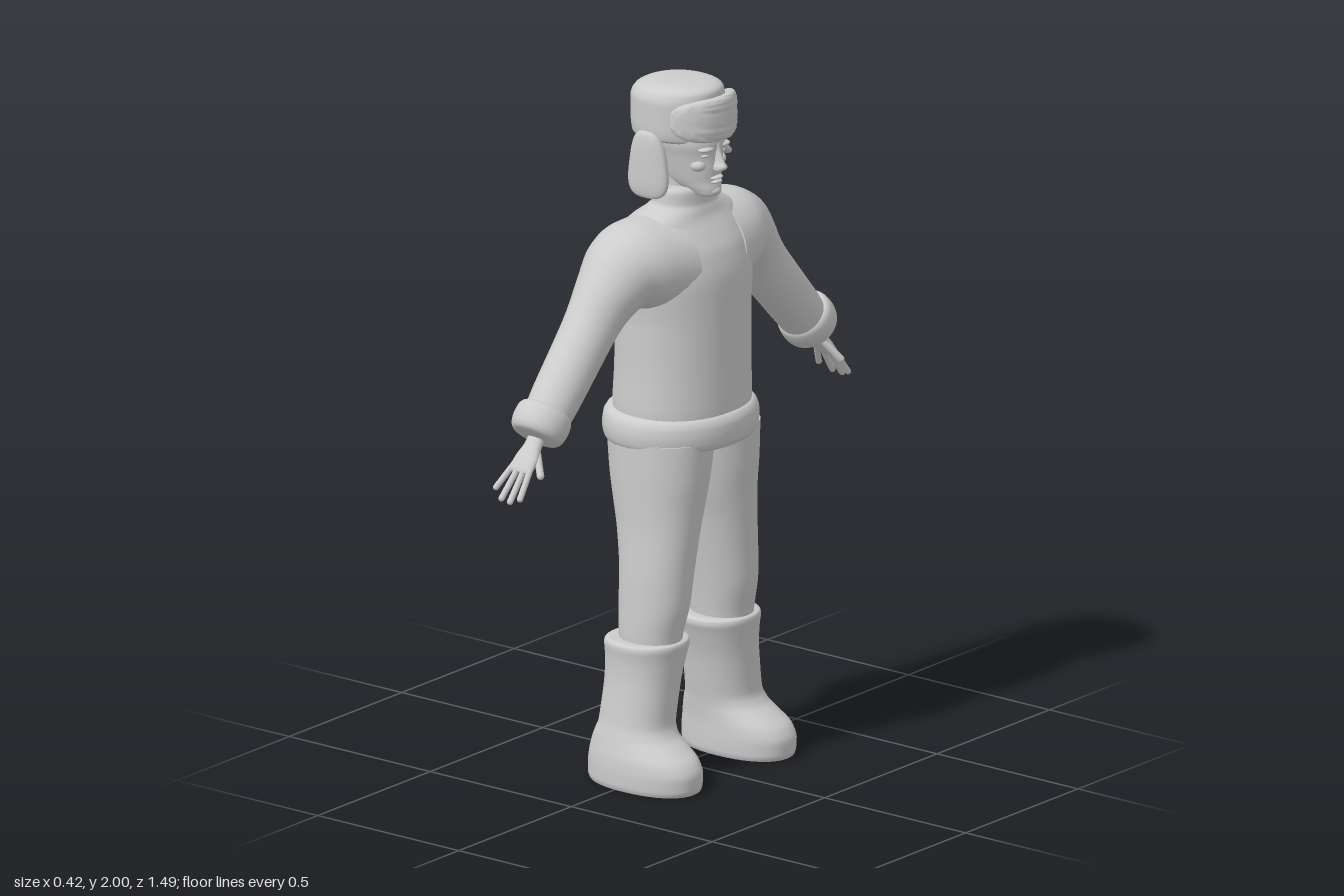
import * as THREE from 'three';

const grey = new THREE.MeshStandardMaterial({ color: 0xcccccc });
grey.name = 'lightGrey';

// Monotone cubic interpolation between section rows (no overshoot)
function rowAt(rows, t) {
  const i = Math.min(Math.floor(t), rows.length - 2), f = t - i;
  const slope = (k, c) => {
    if (k <= 0 || k >= rows.length - 1) return 0;
    const d0 = rows[k][c] - rows[k - 1][c], d1 = rows[k + 1][c] - rows[k][c];
    return d0 * d1 <= 0 ? 0 : 2 * d0 * d1 / (d0 + d1);
  };
  return rows[0].map((_, c) => {
    const p = rows[i][c], q = rows[i + 1][c];
    const f2 = f * f, f3 = f2 * f;
    return (2 * f3 - 3 * f2 + 1) * p + (f3 - 2 * f2 + f) * slope(i, c)
      + (3 * f2 - 2 * f3) * q + (f3 - f2) * slope(i + 1, c);
  });
}

// Skin over oval sections [cx, cy, cz, radiusX, radiusZ, tilt about x]; power > 2 squares the ovals
function loft(sections, power = 2, n = 40, sub = 5) {
  const rows = sections.map(s => [...s, 0].slice(0, 6));
  const count = (rows.length - 1) * sub + 1, pos = [], idx = [];
  const ring = (r) => {
    for (let j = 0; j < n; j++) {
      const t = j / n * Math.PI * 2, c = Math.cos(t), s = Math.sin(t);
      const u = Math.sign(c) * Math.abs(c) ** (2 / power) * r[3];
      const v = Math.sign(s) * Math.abs(s) ** (2 / power) * r[4];
      pos.push(r[0] + u, r[1] + v * Math.sin(r[5]), r[2] + v * Math.cos(r[5]));
    }
  };
  for (let i = 0; i < count; i++) ring(rowAt(rows, i / sub));
  for (let i = 0; i < count - 1; i++) for (let j = 0; j < n; j++) {
    const a = i * n + j, b = i * n + (j + 1) % n;
    idx.push(a, a + n, b, b, a + n, b + n);
  }
  for (const top of [false, true]) {
    const r = rows[top ? rows.length - 1 : 0], start = pos.length / 3;
    ring(r);
    pos.push(r[0], r[1], r[2]);
    for (let j = 0; j < n; j++) {
      const a = start + j, b = start + (j + 1) % n;
      idx.push(start + n, top ? b : a, top ? a : b);
    }
  }
  const g = new THREE.BufferGeometry();
  g.setAttribute('position', new THREE.Float32BufferAttribute(pos, 3));
  g.setIndex(idx);
  g.computeVertexNormals();
  return g;
}

// Rounded cushion in -1..1 space, reshaped by a rule (x, y, z) => [x, y, z]
function pad(rule) {
  const g = new THREE.SphereGeometry(1, 48, 32), p = g.attributes.position;
  const sq = c => Math.sign(c) * Math.abs(c) ** 0.65;
  for (let i = 0; i < p.count; i++) p.setXYZ(i, ...rule(sq(p.getX(i)), sq(p.getY(i)), sq(p.getZ(i))));
  g.computeVertexNormals();
  return g;
}

function ellipsoid(x, y, z, rx, ry, rz) {
  return new THREE.SphereGeometry(1, 24, 16).scale(rx, ry, rz).translate(x, y, z);
}

// Rounded rod between two points
function rod(a, b, r) {
  const A = new THREE.Vector3(...a), d = new THREE.Vector3(...b).sub(A);
  const g = new THREE.CapsuleGeometry(r, d.length(), 6, 12);
  g.applyQuaternion(new THREE.Quaternion().setFromUnitVectors(new THREE.Vector3(0, 1, 0), d.clone().normalize()));
  return g.translate(A.x + d.x / 2, A.y + d.y / 2, A.z + d.z / 2);
}

// Reflected copy across z = 0, with corner order restored
function mirrored(geo) {
  const g = geo.clone().scale(1, 1, -1), ix = g.index.array;
  for (let i = 0; i < ix.length; i += 3) [ix[i + 1], ix[i + 2]] = [ix[i + 2], ix[i + 1]];
  g.computeVertexNormals();
  return g;
}

export function createModel() {
  const model = new THREE.Group();
  model.name = 'winterFigure';
  const add = (name, geo) => {
    const m = new THREE.Mesh(geo, grey);
    m.name = name;
    model.add(m);
  };
  const pair = (name, geo) => {
    add('right' + name, geo);
    add('left' + name, mirrored(geo));
  };

  // Sweater body with collar and thick hem
  add('sweaterBody', loft([
    [-0.005, 1.0, 0, 0.165, 0.2], [-0.005, 1.07, 0, 0.175, 0.21], [-0.003, 1.2, 0, 0.172, 0.205],
    [-0.003, 1.32, 0, 0.172, 0.205], [-0.005, 1.44, 0, 0.173, 0.215], [-0.012, 1.52, 0, 0.163, 0.215],
    [-0.015, 1.57, 0, 0.138, 0.21], [-0.01, 1.61, 0, 0.105, 0.19], [0, 1.635, 0, 0.085, 0.14],
    [0.003, 1.655, 0, 0.076, 0.105], [0.003, 1.69, 0, 0.075, 0.1], [0.003, 1.703, 0, 0.066, 0.09],
  ], 2.15));
  add('sweaterHem', loft([
    [-0.01, 0.96, 0, 0.165, 0.195], [-0.01, 0.966, 0, 0.187, 0.222], [-0.01, 0.985, 0, 0.198, 0.234],
    [-0.01, 1.01, 0, 0.2, 0.237], [-0.01, 1.035, 0, 0.198, 0.234], [-0.01, 1.056, 0, 0.186, 0.222],
    [-0.01, 1.063, 0, 0.17, 0.205],
  ], 2.1));

  // Sleeves, from wrist in to shoulder
  const tilt = 0.707;
  pair('Sleeve', loft([
    [-0.03, 1.14, 0.58, 0.066, 0.066, tilt], [-0.03, 1.19, 0.535, 0.071, 0.071, tilt],
    [-0.03, 1.36, 0.38, 0.077, 0.08, 0.72], [-0.025, 1.44, 0.31, 0.095, 0.093, 0.85],
    [-0.02, 1.487, 0.255, 0.118, 0.114, 1.2], [-0.015, 1.497, 0.2, 0.138, 0.131, 1.45],
    [-0.01, 1.49, 0.1, 0.155, 0.14, 1.571],
  ], 2, 40, 7));

  // Rolled cuffs
  const cuff = [[-0.045, 0.05], [-0.041, 0.066], [-0.025, 0.078], [0, 0.082], [0.025, 0.08], [0.041, 0.07], [0.045, 0.055]];
  pair('Cuff', loft(cuff.map(([s, r]) => [-0.033, 1.135 + s * 0.76, 0.593 - s * 0.65, r, r, tilt])));

  // Hands: laid out pointing down, then tilted to follow the arm
  const place = g => g.rotateX(-tilt).translate(-0.035, 1.11, 0.605);
  pair('Palm', place(loft([
    [0.002, -0.125, 0, 0.03, 0.008], [0, -0.115, 0, 0.04, 0.012], [0.002, -0.08, 0, 0.038, 0.016],
    [0.004, -0.035, 0, 0.027, 0.018], [0, 0.03, 0, 0.025, 0.02],
  ], 2.2, 24)));
  const fingers = [[-0.031, -0.058, -0.18], [-0.011, -0.024, -0.208], [0.01, 0.008, -0.212], [0.03, 0.036, -0.198]];
  fingers.forEach(([x0, x1, y], i) => {
    pair('Finger' + (i + 1), place(rod([x0, -0.105, 0], [x1, y, -0.006], 0.0088)));
  });
  pair('Thumb', place(rod([0.02, -0.05, -0.006], [0.06, -0.115, -0.016], 0.0105)));

  // Trouser legs
  pair('Leg', loft([
    [0.01, 0.36, 0.16, 0.085, 0.075], [0.01, 0.42, 0.158, 0.092, 0.08], [0.017, 0.52, 0.15, 0.105, 0.086],
    [0.018, 0.6, 0.142, 0.108, 0.092], [0.012, 0.72, 0.126, 0.122, 0.1], [0.006, 0.8, 0.115, 0.135, 0.111],
    [0.003, 0.88, 0.108, 0.148, 0.12], [0, 0.99, 0.1, 0.158, 0.13],
  ], 2.15));

  // Felt boots
  pair('Boot', loft([
    [0.03, 0, 0.208, 0.172, 0.1], [0.03, 0.015, 0.208, 0.179, 0.105], [0.031, 0.05, 0.208, 0.18, 0.106],
    [0.025, 0.085, 0.207, 0.17, 0.104], [0.008, 0.115, 0.203, 0.147, 0.1], [-0.008, 0.145, 0.198, 0.121, 0.097],
    [-0.011, 0.18, 0.191, 0.108, 0.095], [-0.007, 0.28, 0.175, 0.106, 0.097], [-0.005, 0.36, 0.162, 0.111, 0.107],
    [-0.004, 0.395, 0.158, 0.115, 0.115], [-0.004, 0.407, 0.158, 0.112, 0.113], [-0.004, 0.412, 0.158, 0.1, 0.1],
  ], 2.25));

  // Neck, head and face
  add('neck', loft([[0, 1.64, 0, 0.06, 0.07], [-0.005, 1.7, 0, 0.062, 0.065], [-0.01, 1.78, 0, 0.08, 0.07]]));
  add('head', loft([
    [0.085, 1.678, 0, 0.025, 0.025], [0.075, 1.683, 0, 0.045, 0.037], [0.055, 1.7, 0, 0.067, 0.05],
    [0.02, 1.725, 0, 0.098, 0.065], [0.005, 1.76, 0, 0.115, 0.076], [-0.002, 1.8, 0, 0.122, 0.086],
    [-0.005, 1.84, 0, 0.13, 0.095], [-0.01, 1.9, 0, 0.12, 0.095],
  ], 2.2));
  add('nose', loft([
    [0.12, 1.755, 0, 0.012, 0.012], [0.126, 1.759, 0, 0.02, 0.018], [0.127, 1.768, 0, 0.025, 0.017],
    [0.12, 1.785, 0, 0.022, 0.01], [0.115, 1.815, 0, 0.015, 0.008], [0.115, 1.835, 0, 0.012, 0.012],
  ], 2, 20));
  add('upperLip', ellipsoid(0.115, 1.734, 0, 0.017, 0.006, 0.024));
  add('lowerLip', ellipsoid(0.114, 1.722, 0, 0.016, 0.006, 0.021));
  add('chin', ellipsoid(0.106, 1.693, 0, 0.02, 0.016, 0.025));
  pair('Brow', ellipsoid(0.107, 1.822, 0.035, 0.02, 0.008, 0.028));
  pair('Eye', ellipsoid(0.1, 1.802, 0.035, 0.015, 0.007, 0.016));
  pair('Cheek', ellipsoid(0.085, 1.773, 0.045, 0.025, 0.018, 0.022));

  // Fur hat crown
  add('hatCrown', loft([
    [-0.022, 1.838, 0, 0.122, 0.108], [-0.022, 1.845, 0, 0.128, 0.116], [-0.022, 1.88, 0, 0.132, 0.121],
    [-0.021, 1.945, 0, 0.134, 0.121], [-0.015, 1.972, 0, 0.128, 0.113], [-0.005, 1.988, 0, 0.11, 0.096],
    [0, 1.997, 0, 0.075, 0.065], [0, 2, 0, 0.005, 0.005],
  ], 2.1));

  // Turned-up front flap, bent round the brow, with a slightly lumpy fur surface
  add('hatFrontFlap', pad((x, y, z) => {
    const a = x * 1.3, fur = 0.002 * Math.sin(a * 31 + y * 5) * Math.sin(y * 13 + a * 9);
    const r = z * 0.019 + fur;
    return [0.008 + (0.128 + r) * Math.cos(a), 1.91 + y * 0.064 * (1 - 0.12 * x * x), -(0.119 + r) * Math.sin(a)];
  }));

  // Ear flaps: one hangs straight, the other swings outward
  const flap = (x, y, z) => [
    -0.036 + x * (0.064 - 0.014 * y), 1.77 + y * 0.097, 0.122 + z * 0.017 - 0.012 * x * x,
  ];
  add('rightEarFlap', pad(flap));
  add('leftEarFlap', mirrored(pad((x, y, z) => {
    const d = (1 - y) / 2;
    return [-0.028 + x * (0.045 + 0.012 * d), 1.855 - 0.155 * d + 0.03 * d * d + z * 0.009,
      0.108 + 0.03 * d + 0.07 * d * d + z * 0.012];
  })));
  return model;
}
